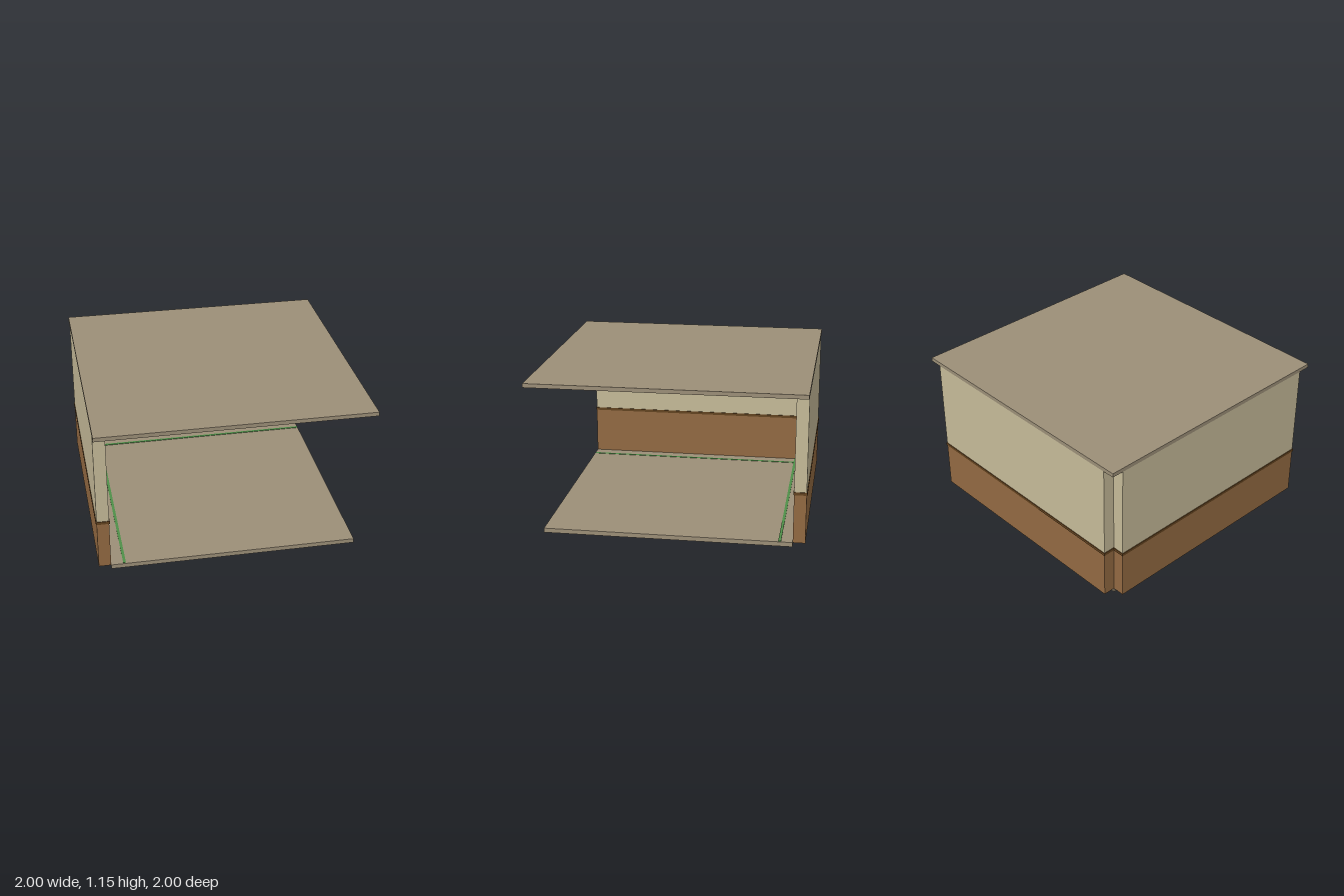
import * as THREE from 'three';

const mat = (name, color) => {
  const m = new THREE.MeshStandardMaterial({ color });
  m.name = name;
  return m;
};

export function createModel() {
  const slab = mat('taupe slab', 0x9c8f78);
  const plaster = mat('cream plaster', 0xc6bb99);
  const wood = mat('brown wood', 0x936a42);
  const darkWood = mat('dark wood', 0x63431f);
  const green = mat('green inlay', 0x4f8f48);
  const steel = mat('dark blue steel', 0x2f3a45);
  const glow = mat('light panel', 0xc4b292);

  const model = new THREE.Group();
  model.name = 'room';

  // Box given by its minimum and maximum along each axis
  const box = (name, material, [x0, x1], [y0, y1], [z0, z1], parent = model) => {
    const mesh = new THREE.Mesh(new THREE.BoxGeometry(x1 - x0, y1 - y0, z1 - z0), material);
    mesh.position.set((x0 + x1) / 2, (y0 + y1) / 2, (z0 + z1) / 2);
    mesh.name = name;
    parent.add(mesh);
    return mesh;
  };

  const inX = [-0.908, 0.906], inZ = [-0.903, 0.909];
  const outX = -0.997, outZ = -0.992;

  // Floor and ceiling slabs
  box('floor', slab, inX, [0, 0.033], inZ);
  box('ceiling', slab, [-0.998, 1], [1.12, 1.15], [-0.993, 1]);

  // Two walls, each with wainscot, plaster and a projecting rail
  const walls = [
    ['leftSide', [outX, inX[0]], inZ],
    ['back', inX, [outZ, inZ[0]]],
  ];
  const grow = ([a, b], d = 0.005) => [a - d, b + d];
  for (const [name, xs, zs] of walls) {
    const wall = new THREE.Group();
    wall.name = name + 'Wall';
    box('wainscot', wood, xs, [0.033, 0.4], zs, wall);
    box('plaster', plaster, xs, [0.4, 1.12], zs, wall);
    box('chairRail', darkWood, grow(xs), [0.394, 0.415], grow(zs), wall);
    model.add(wall);
  }

  // Thin inlaid strips along the two walls
  box('floorStripSide', green, [-0.82, -0.8], [0.03, 0.036], [-0.9, 0.9]);
  box('floorStripBack', green, [-0.9, 0.9], [0.03, 0.037], [-0.82, -0.8]);

  // Four square ceiling lights with raised frames
  const r = 0.15, t = 0.018;
  for (const x of [-0.455, 0.455]) for (const z of [-0.45, 0.455]) {
    const light = new THREE.Group();
    light.name = 'ceilingLight';
    light.position.set(x, 1.12, z);
    for (const s of [-1, 1]) {
      const c = s * (r - t / 2);
      box('frameBar', steel, [-r, r], [-0.02, 0], [c - t / 2, c + t / 2], light);
      box('frameBar', steel, [c - t / 2, c + t / 2], [-0.02, 0], [t - r, r - t], light);
    }
    box('panel', glow, [t - r, r - t], [-0.016, -0.008], [t - r, r - t], light);
    model.add(light);
  }
  return model;
}
